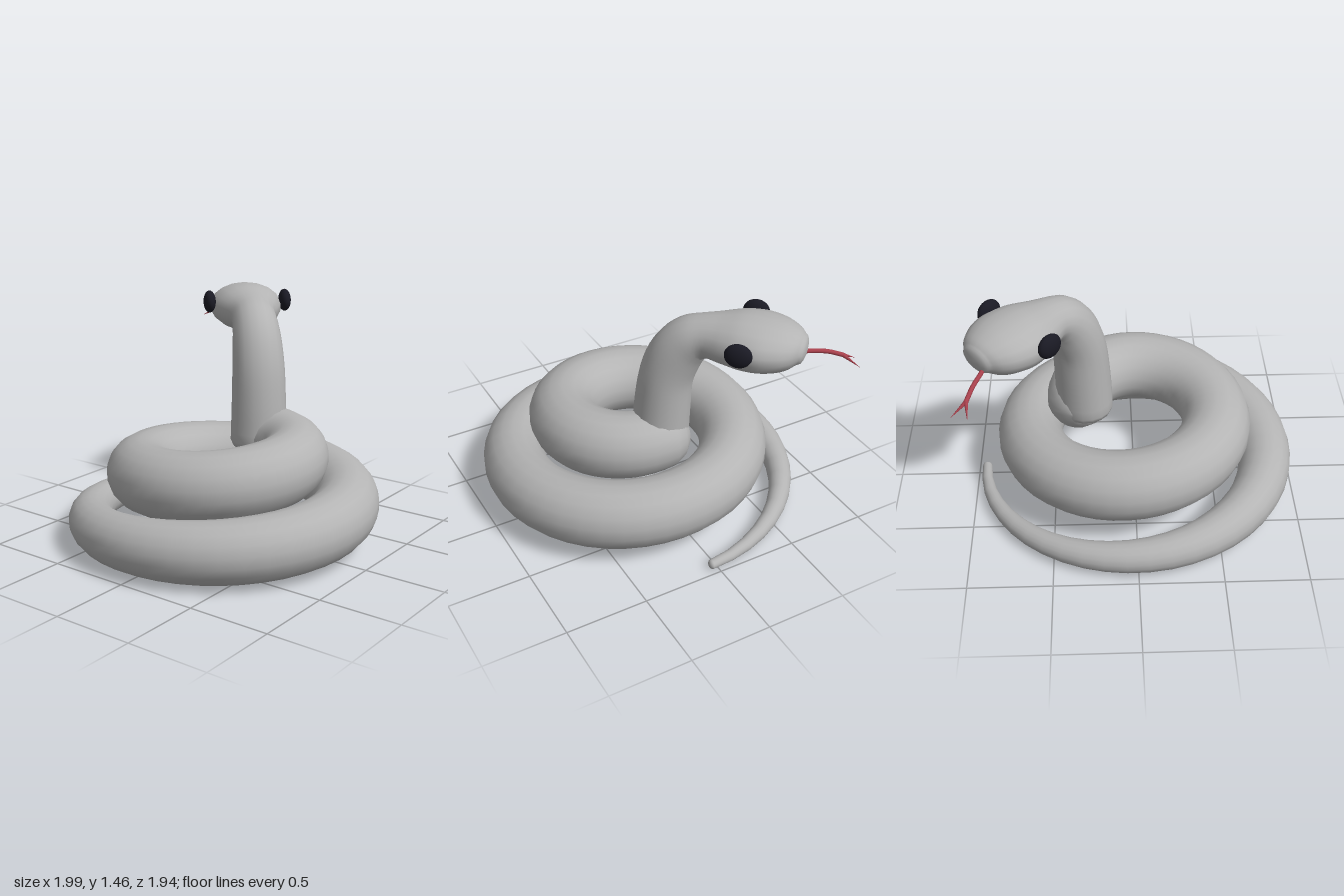
import * as THREE from 'three';

const SIDES = 18;
const V = (x, y, z) => new THREE.Vector3(x, y, z);

// Smooth curve through evenly spaced key triples
const keyCurve = (keys) =>
  new THREE.CatmullRomCurve3(keys.map((k) => V(...k)), false, 'catmullrom', 0.5);

// Skin a closed tube over elliptical rings {c, a, b, ra, rb}, where a x b points
// along the path; both ends get domes of the given relative depth.
function skin(rings, startDepth, endDepth) {
  const dome = (ring, depth, sign) => {
    const t = V().crossVectors(ring.a, ring.b).multiplyScalar(sign * depth * Math.min(ring.ra, ring.rb));
    return [1, 2, 3, 4].map((k) => {
      const w = (k / 4) * Math.PI / 2, s = Math.max(Math.cos(w), 0.01);
      return { ...ring, c: ring.c.clone().addScaledVector(t, Math.sin(w)), ra: ring.ra * s, rb: ring.rb * s };
    });
  };
  const all = [
    ...dome(rings[0], startDepth, -1).reverse(),
    ...rings,
    ...dome(rings[rings.length - 1], endDepth, 1),
  ];
  const pos = [], idx = [];
  all.forEach(({ c, a, b, ra, rb }, i) => {
    for (let j = 0; j < SIDES; j++) {
      const w = (j / SIDES) * Math.PI * 2;
      const p = c.clone().addScaledVector(a, ra * Math.cos(w)).addScaledVector(b, rb * Math.sin(w));
      pos.push(p.x, p.y, p.z);
      if (i === all.length - 1) continue;
      const p0 = i * SIDES + j, p1 = i * SIDES + ((j + 1) % SIDES);
      idx.push(p0, p1, p0 + SIDES, p1, p1 + SIDES, p0 + SIDES);
    }
  });
  const g = new THREE.BufferGeometry();
  g.setAttribute('position', new THREE.Float32BufferAttribute(pos, 3));
  g.setIndex(idx);
  g.computeVertexNormals();
  return g;
}

// Two-turn spiral body, keyed every quarter turn from the tail: [spiral radius, height, thickness]
function coilGeometry() {
  const keys = keyCurve([
    [0.95, 0.035, 0.03], [0.875, 0.108, 0.1], [0.83, 0.18, 0.17], [0.77, 0.245, 0.2],
    [0.65, 0.315, 0.205], [0.557, 0.385, 0.212], [0.513, 0.455, 0.213], [0.447, 0.53, 0.212],
    [0.335, 0.575, 0.195],
  ]);
  const rings = [];
  for (let deg = -2; deg <= 710; deg += 8) {
    const k = keys.getPoint(Math.max(deg, 0) / 720), w = THREE.MathUtils.degToRad(deg);
    const out = V(Math.cos(w), 0, -Math.sin(w));
    rings.push({ c: out.clone().multiplyScalar(k.x).setY(k.y), a: V(0, 1, 0), b: out, ra: k.z, rb: k.z });
  }
  return skin(rings, 0.7, 1);
}

// Neck and head lie in one upright plane, turned 45 degrees to the front
const FORWARD = V(Math.SQRT1_2, 0, -Math.SQRT1_2);
const SIDE = V(Math.SQRT1_2, 0, Math.SQRT1_2);
const headPoint = (u, y, v = 0.23) =>
  V(0, y, 0).addScaledVector(FORWARD, u).addScaledVector(SIDE, v);

// Rows: [forward, height, half depth, half width]
function neckAndHeadGeometry() {
  const rows = [
    [0.20, 0.55, 0.17, 0.18], [0.21, 0.78, 0.168, 0.172], [0.232, 1.0, 0.16, 0.165],
    [0.29, 1.16, 0.155, 0.155], [0.37, 1.26, 0.14, 0.145], [0.46, 1.3, 0.125, 0.145],
    [0.57, 1.308, 0.138, 0.188], [0.67, 1.312, 0.152, 0.222], [0.78, 1.313, 0.15, 0.236],
    [0.88, 1.312, 0.135, 0.21], [0.95, 1.31, 0.11, 0.165], [0.995, 1.305, 0.08, 0.11],
  ];
  const path = keyCurve(rows.map(([u, y]) => [u, y, 0]));
  const size = keyCurve(rows.map(([, , a, b]) => [a, b, 0]));
  const rings = [], n = 44;
  for (let i = 0; i <= n; i++) {
    const p = path.getPoint(i / n), t = path.getTangent(i / n), s = size.getPoint(i / n);
    const along = FORWARD.clone().multiplyScalar(t.x).setY(t.y);
    rings.push({ c: headPoint(p.x, p.y), a: V().crossVectors(SIDE, along), b: SIDE, ra: s.x, rb: s.y });
  }
  return skin(rings, 0.5, 0.4);
}

export function createModel() {
  const mat = (name, color) => {
    const m = new THREE.MeshStandardMaterial({ color });
    m.name = name;
    return m;
  };
  const skinGrey = mat('skinGrey', 0xb4b4b4);
  const eyeBlack = mat('eyeBlack', 0x1a1a24);
  const tongueRed = mat('tongueRed', 0xa8404c);

  const model = new THREE.Group();
  model.name = 'snake';
  const add = (name, geometry, material, parent = model) => {
    const mesh = new THREE.Mesh(geometry, material);
    mesh.name = name;
    parent.add(mesh);
    return mesh;
  };

  add('coiledBody', coilGeometry(), skinGrey);
  add('neckAndHead', neckAndHeadGeometry(), skinGrey);

  // Flattened eyes on both sides of the head
  for (const [name, s] of [['leftEye', -1], ['rightEye', 1]]) {
    const eye = add(name, new THREE.SphereGeometry(1, 20, 14), eyeBlack);
    eye.scale.set(0.078, 0.072, 0.04);
    eye.rotation.y = Math.PI / 4;
    eye.position.copy(headPoint(0.69, 1.355, 0.23 + s * 0.25));
  }

  // Forked tongue: a curved stem and two tapering tips
  const tongue = new THREE.Group();
  tongue.name = 'tongue';
  model.add(tongue);
  const fork = V(0.912, 1.213, -0.795);
  const stem = new THREE.CatmullRomCurve3([V(0.82, 1.262, -0.52), V(0.845, 1.258, -0.61), V(0.882, 1.245, -0.71), fork]);
  add('tongueStem', new THREE.TubeGeometry(stem, 16, 0.013, 10), tongueRed, tongue);
  add('tongueJoint', new THREE.SphereGeometry(0.014, 10, 8), tongueRed, tongue).position.copy(fork);
  for (const end of [V(0.902, 1.16, -0.892), V(0.995, 1.155, -0.86)]) {
    const dir = end.clone().sub(fork);
    const tip = add('tongueTip', new THREE.ConeGeometry(0.012, dir.length(), 10), tongueRed, tongue);
    tip.position.copy(fork).addScaledVector(dir, 0.5);
    tip.quaternion.setFromUnitVectors(V(0, 1, 0), dir.normalize());
  }
  return model;
}
